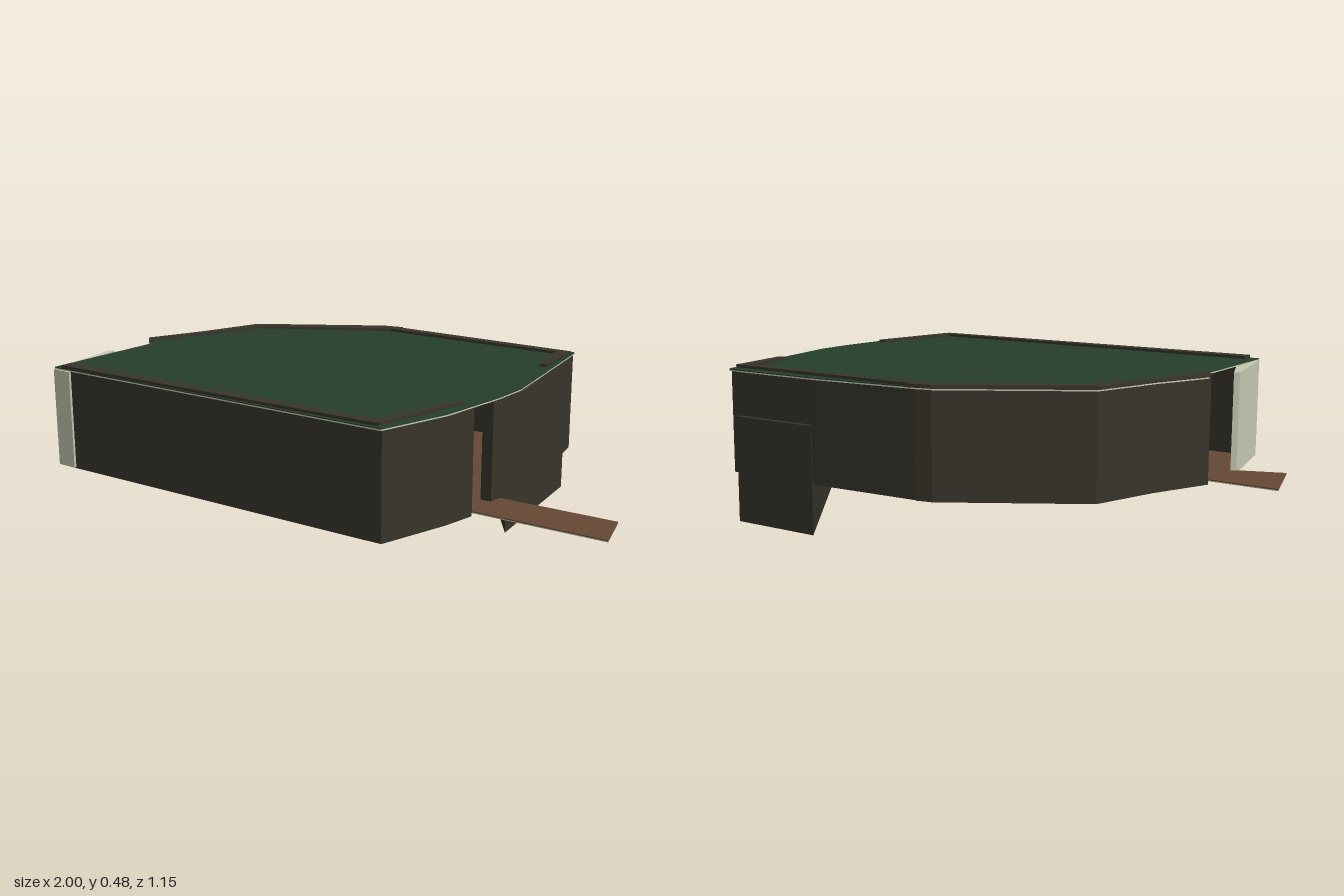
import * as THREE from 'three';

const mat = (name, color) => {
  const m = new THREE.MeshStandardMaterial({ color });
  m.name = name;
  return m;
};

export function createModel() {
  const group = new THREE.Group();
  const wall = mat('dark stone', 0x38352a);
  const green = mat('roof green', 0x263f2b);
  const brown = mat('earth brown', 0x664a34);
  const pale = mat('pale plaster', 0xc6cab2);

  // Upright prism over a footprint of [x, z] corners
  const prism = (name, corners, y0, y1, material) => {
    const shape = new THREE.Shape(corners.map(([x, z]) => new THREE.Vector2(x, -z)));
    const geo = new THREE.ExtrudeGeometry(shape, { depth: y1 - y0, bevelEnabled: false });
    geo.rotateX(-Math.PI / 2);
    geo.translate(0, y0, 0);
    const mesh = new THREE.Mesh(geo, material);
    mesh.name = name;
    group.add(mesh);
  };

  // Walls, with a doorway on each side
  const walls = {
    frontWall: [[-0.7, 0.565], [-0.7, 0.52], [0.46, 0.52], [0.5, 0.565]],
    frontLeftWall: [[0.46, 0.52], [0.53, 0.23], [0.585, 0.23], [0.565, 0.34], [0.5, 0.565]],
    backLeftWall: [[0.5, -0.56], [0.6, -0.06], [0.585, 0.12], [0.55, 0.12], [0.46, -0.51]],
    backWall: [[-0.2, -0.545], [0.17, -0.56], [0.5, -0.56], [0.46, -0.51], [-0.19, -0.51]],
    backRightWall: [[-0.24, -0.54], [-0.19, -0.55], [-0.19, -0.51], [-0.6, -0.29], [-0.63, -0.3]],
    rightWall: [[-0.63, -0.3], [-0.59, -0.28], [-0.76, 0.12], [-0.785, 0.1], [-0.7, -0.09]],
  };
  for (const [name, corners] of Object.entries(walls)) prism(name, corners, 0.15, 0.467, wall);

  // Pale wall beside the right doorway
  prism('paleWall', [[-0.8, 0.275], [-0.785, 0.265], [-0.67, 0.577], [-0.74, 0.575]], 0.155, 0.467, pale);

  // Roof: pale slab with a green top
  const roof = [[-0.74, 0.57], [0.5, 0.57], [0.565, 0.34], [0.59, 0.1], [0.592, -0.03], [0.5, -0.57],
    [0.46, -0.577], [0.17, -0.577], [-0.19, -0.55], [-0.24, -0.54], [-0.63, -0.3], [-0.7, -0.09],
    [-0.78, 0.1], [-0.74, 0.13]];
  prism('roofSlab', roof, 0.467, 0.471, pale);
  prism('roofTop', roof, 0.471, 0.474, green);

  // Low rims standing on the roof edge
  const rims = [
    [[-0.71, 0.57], [-0.71, 0.525], [0.46, 0.525], [0.48, 0.557]],
    [[0.45, 0.53], [0.53, 0.23], [0.55, 0.23], [0.48, 0.55]],
    [[0.46, -0.51], [0.5, -0.53], [0.525, -0.32], [0.5, -0.32]],
    [[-0.19, -0.55], [0.5, -0.54], [0.5, -0.51], [-0.2, -0.51]],
    [[-0.24, -0.545], [-0.17, -0.56], [-0.19, -0.51], [-0.6, -0.285], [-0.635, -0.305]],
    [[-0.635, -0.305], [-0.595, -0.285], [-0.765, 0.12], [-0.785, 0.1], [-0.705, -0.09]],
  ];
  rims.forEach((corners, i) => prism('roofRim' + (i + 1), corners, 0.472, 0.483, wall));

  // Floor and the two paths: brown above, pale below
  const floor = [[-0.72, 0.55], [0.49, 0.55], [0.565, 0.23], [0.575, 0.1], [0.58, -0.05], [0.49, -0.54],
    [-0.19, -0.53], [-0.61, -0.28], [-0.76, 0.1], [-0.78, 0.27]];
  const leftPath = [[0.55, 0.075], [0.96, 0.065], [1, 0.217], [0.55, 0.225]];
  const rightPath = [[-1, 0.108], [-0.74, 0.115], [-0.74, 0.26], [-0.94, 0.33]];
  for (const [name, corners] of [['floor', floor], ['leftPath', leftPath], ['rightPath', rightPath]]) {
    prism(name, corners, 0.16, 0.163, brown);
    prism(name + 'Underside', corners, 0.157, 0.16, pale);
  }

  // Foundation wedge reaching down at the back left corner
  prism('foundation', [[0.17, -0.577], [0.47, -0.577], [0.535, -0.065]], 0, 0.33, wall);

  return group;
}
